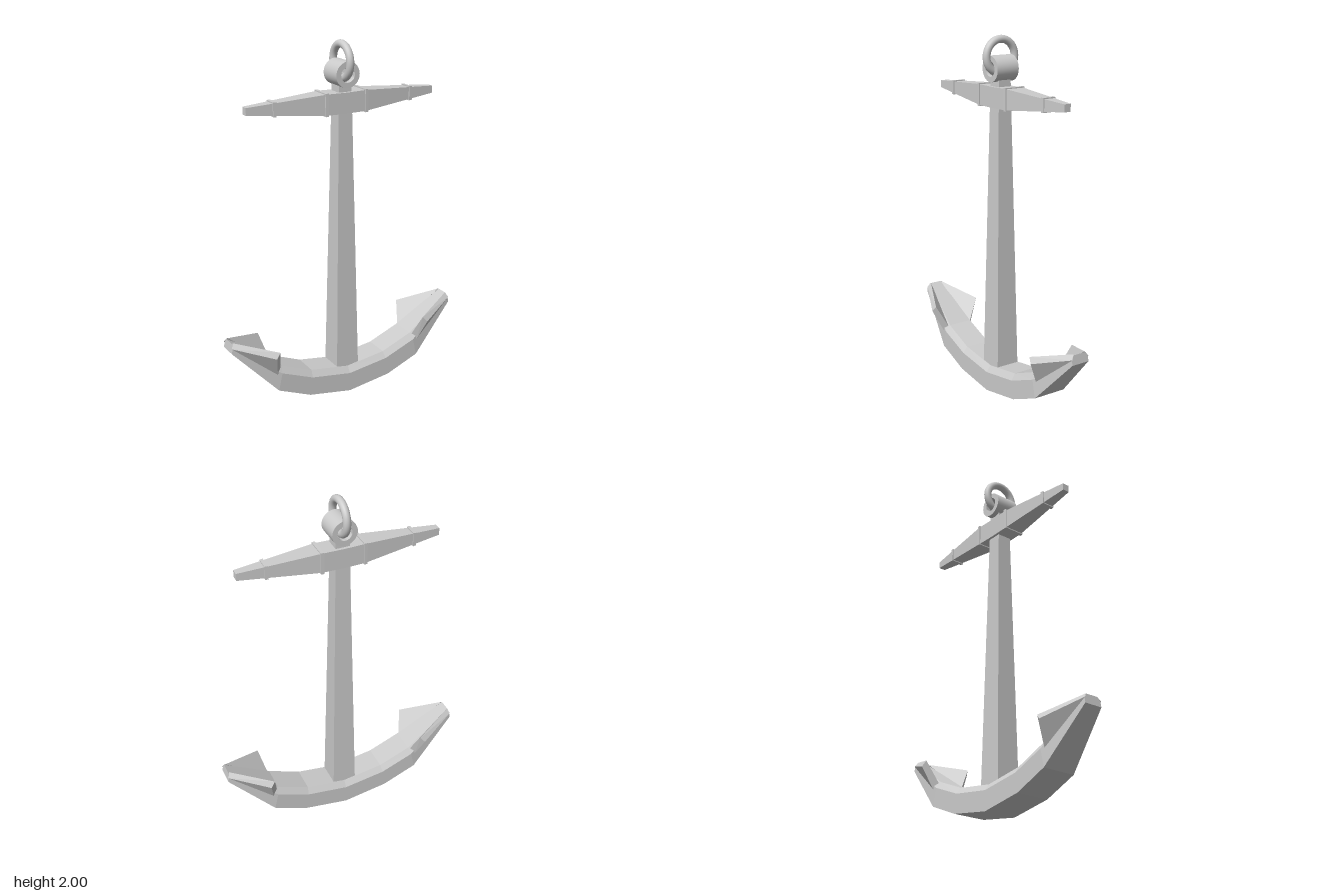
import * as THREE from 'three';
import { toCreasedNormals } from 'three/addons/utils/BufferGeometryUtils.js';
import { ConvexGeometry } from 'three/addons/geometries/ConvexGeometry.js';

const flat = new THREE.MeshStandardMaterial({ color: 0xcccccc, flatShading: true });
const smooth = new THREE.MeshStandardMaterial({ color: 0xcccccc });

// Skin closed rings of [x, y, z] points, ordered along +x, and cap both ends.
function loft(rings) {
  const pos = [];
  const tri = (a, b, c) => pos.push(...a, ...b, ...c);
  const n = rings[0].length;
  for (let i = 0; i < rings.length - 1; i++) {
    for (let j = 0; j < n; j++) {
      const k = (j + 1) % n;
      const [a, b, c, d] = [rings[i][j], rings[i][k], rings[i + 1][k], rings[i + 1][j]];
      tri(a, b, c);
      tri(a, c, d);
    }
  }
  const first = rings[0], last = rings[rings.length - 1];
  for (let j = 1; j < n - 1; j++) {
    tri(first[0], first[j + 1], first[j]);
    tri(last[0], last[j], last[j + 1]);
  }
  const g = new THREE.BufferGeometry();
  g.setAttribute('position', new THREE.Float32BufferAttribute(pos, 3));
  g.computeVertexNormals();
  return g;
}

// Repeat half-profile rows [x, ...] on the -x side, ordered from -x to +x.
const mirrorRows = rows => [
  ...rows.slice(1).reverse().map(r => ({ s: -1, r })),
  ...rows.map(r => ({ s: 1, r })),
];

export function createModel() {
  const anchor = new THREE.Group();
  anchor.name = 'anchor';
  const add = (name, geometry, material = flat) => {
    const mesh = new THREE.Mesh(geometry, material);
    mesh.name = name;
    anchor.add(mesh);
    return mesh;
  };

  // Curved arms: flat underside, upright sides, bevelled upper edges.
  // Rows: bottom x, bottom y, top x, top y, half width, bevel drop
  const armRows = [
    [0, 0.005, 0, 0.15, 0.097, 0.035],
    [0.255, 0.045, 0.235, 0.185, 0.097, 0.035],
    [0.45, 0.125, 0.42, 0.26, 0.097, 0.035],
    [0.703, 0.39, 0.695, 0.442, 0.053, 0.02],
  ];
  add('arms', loft(mirrorRows(armRows).map(({ s, r: [bx, by, tx, ty, w, d] }) => {
    const sideX = tx + (bx - tx) * d / (ty - by), inner = w - d * 0.72;
    return [
      [s * tx, ty, -inner], [s * tx, ty, inner], [s * sideX, ty - d, w],
      [s * bx, by, w], [s * bx, by, -w], [s * sideX, ty - d, -w],
    ];
  })));

  // Flukes: a slanted triangular plate on both sides of each arm tip
  const flukePoints = [
    [0.69, 0.445, 0.035], [0.46, 0.378, 0.143], [0.425, 0.24, 0.07],
    [0.703, 0.42, 0.053], [0.485, 0.348, 0.154], [0.455, 0.222, 0.095],
  ];
  for (const sx of [-1, 1]) for (const sz of [-1, 1]) {
    const pts = flukePoints.map(([x, y, z]) => new THREE.Vector3(sx * x, y, sz * z));
    add(`${sx > 0 ? 'left' : 'right'}${sz > 0 ? 'Front' : 'Back'}Fluke`, new ConvexGeometry(pts));
  }

  // Tapered square shank
  const shank = new THREE.CylinderGeometry(0.038 * Math.SQRT2, 0.07 * Math.SQRT2, 1.69, 4);
  add('shank', shank.rotateY(Math.PI / 4)).position.y = 0.09 + 1.69 / 2;

  // Stock: square crossbar tapering to both ends
  const stockY = x => 1.675 + 0.01 * x / 0.563;
  const stockHalf = x => x < 0.12 ? 0.056 : 0.056 - 0.036 * (x - 0.12) / 0.443;
  const square = (x, s, grow = 0) => {
    const y = stockY(x), h = stockHalf(x) + grow;
    return [[s * x, y + h, -h], [s * x, y + h, h], [s * x, y - h, h], [s * x, y - h, -h]];
  };
  add('stock', loft(mirrorRows([[0], [0.12], [0.563]]).map(({ s, r }) => square(r[0], s))));

  // Thin bands around the stock
  for (const s of [-1, 1]) for (const x of [0.12, 0.41]) {
    const rings = [square(x - 0.009, s, 0.006), square(x + 0.009, s, 0.006)];
    add('stockBand', loft(s > 0 ? rings : rings.reverse()));
  }

  // Eye: short tube running front to back on the shank head
  const eyeProfile = [[0.041, -0.068], [0.07, -0.068], [0.07, 0.068], [0.041, 0.068], [0.041, -0.068]]
    .map(p => new THREE.Vector2(...p));
  const eye = toCreasedNormals(new THREE.LatheGeometry(eyeProfile, 32), 0.7);
  add('eye', eye.rotateX(Math.PI / 2), smooth).position.y = 1.826;

  // Ring hanging through the eye
  const ring = new THREE.TorusGeometry(0.09, 0.021, 16, 48);
  add('ring', ring.rotateY(Math.PI / 2), smooth).position.y = 1.889;

  return anchor;
}
